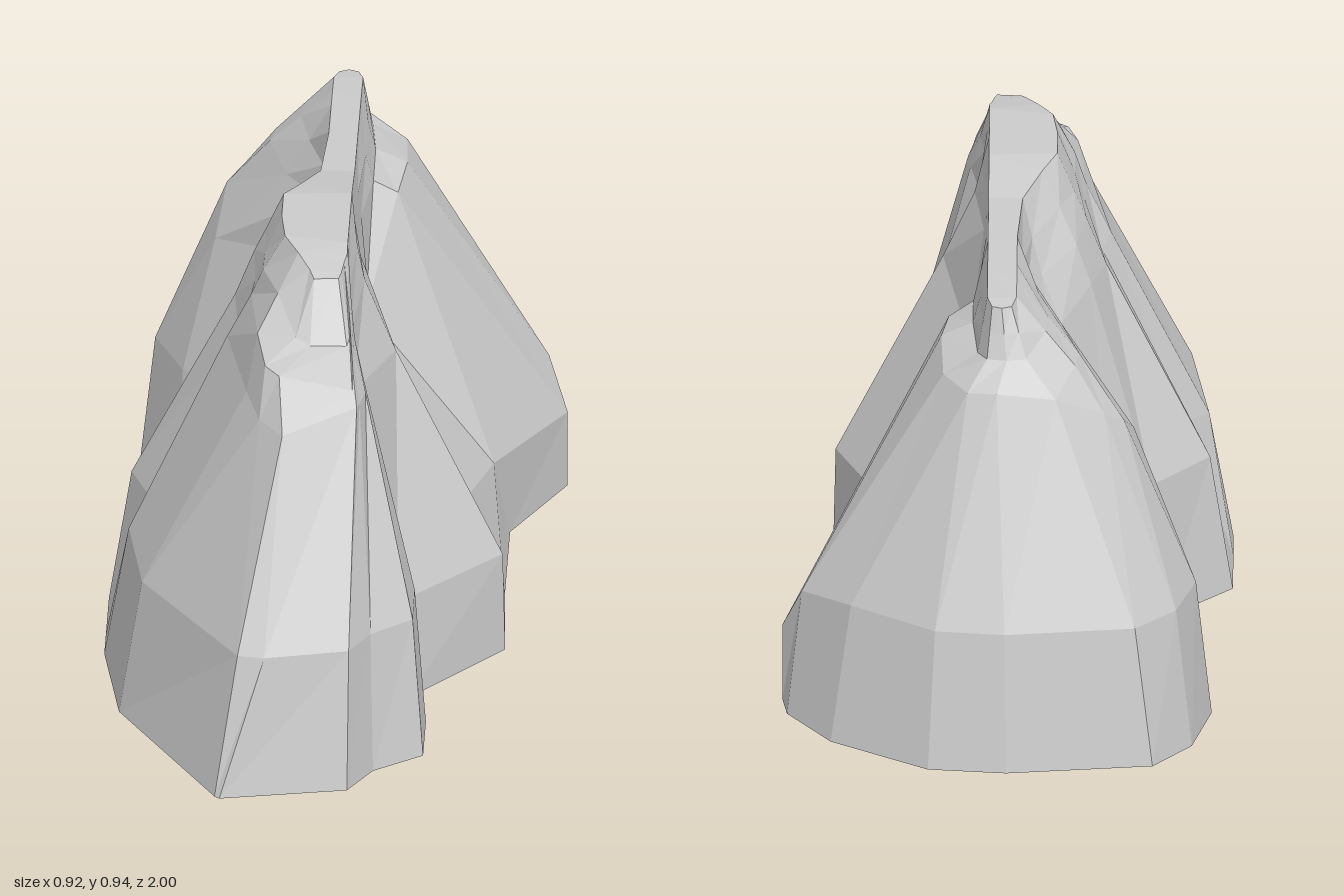
import * as THREE from 'three';

// Every section runs counterclockwise (seen from above) from the front tip.
// Ground outline: x, z
const ground = [
  [-0.2, 1.0], [0.06, 0.95], [0.11, 0.85], [0.21, 0.77], [0.21, 0.6], [0.17, 0.48],
  [0.36, 0.23], [0.35, -0.04], [0.35, -0.36], [0.46, -0.6], [0.45, -0.68], [0.36, -0.83],
  [0.16, -0.98], [0, -1.0], [-0.3, -0.96], [-0.38, -0.85], [-0.42, -0.67], [-0.34, -0.5],
  [-0.23, -0.4], [-0.24, -0.3], [-0.32, -0.16], [-0.46, 0], [-0.46, 0.18], [-0.46, 0.28],
  [-0.42, 0.57], [-0.21, 0.99],
];
// Top of the steep flanks: x, y, z
const flankTop = [
  [-0.08, 0.7, 0.73], [0.07, 0.735, 0.66], [0.075, 0.73, 0.63], [0.085, 0.73, 0.57],
  [0.08, 0.73, 0.51], [0.06, 0.69, 0.47], [0.135, 0.66, 0.2], [0.08, 0.57, -0.04],
  [0.06, 0.57, -0.2], [0.12, 0.76, -0.37], [0.135, 0.77, -0.5], [0.13, 0.75, -0.66],
  [0.08, 0.745, -0.75], [0.02, 0.75, -0.77], [-0.1, 0.73, -0.75], [-0.2, 0.68, -0.7],
  [-0.24, 0.65, -0.66], [-0.26, 0.58, -0.53], [-0.1, 0.63, -0.35], [-0.11, 0.69, -0.24],
  [-0.17, 0.72, -0.1], [-0.2, 0.71, 0.04], [-0.19, 0.69, 0.17], [-0.21, 0.7, 0.23],
  [-0.16, 0.71, 0.53], [-0.13, 0.7, 0.65],
];
// Shoulder under the ridge: x, y, z
const shoulder = [
  [-0.09, 0.785, 0.62], [0.06, 0.76, 0.63], [0.06, 0.785, 0.59], [0.06, 0.8, 0.54],
  [0.06, 0.81, 0.48], [0.05, 0.8, 0.42], [0.07, 0.81, 0.18], [0.05, 0.8, 0],
  [0.05, 0.78, -0.21], [0.07, 0.79, -0.36], [0.07, 0.8, -0.5], [0.06, 0.79, -0.64],
  [0.04, 0.8, -0.7], [0, 0.8, -0.71], [-0.04, 0.8, -0.7], [-0.14, 0.77, -0.66],
  [-0.15, 0.77, -0.6], [-0.11, 0.77, -0.43], [-0.04, 0.78, -0.29], [-0.07, 0.78, -0.2],
  [-0.14, 0.8, -0.08], [-0.16, 0.81, 0.04], [-0.155, 0.8, 0.17], [-0.16, 0.8, 0.24],
  [-0.14, 0.81, 0.46], [-0.12, 0.79, 0.58],
];
// Ridge crest: x, y, z
const crest = [
  [-0.025, 0.92, 0.43], [0.025, 0.922, 0.43], [0.03, 0.925, 0.41], [0.035, 0.932, 0.37],
  [0.04, 0.938, 0.34], [0.04, 0.945, 0.3], [0.04, 0.945, 0.15], [0.04, 0.945, 0.05],
  [0.04, 0.918, -0.12], [0.04, 0.915, -0.34], [0.04, 0.911, -0.5], [0.04, 0.905, -0.62],
  [0.03, 0.9, -0.66], [0.01, 0.9, -0.67], [-0.01, 0.9, -0.66], [-0.02, 0.905, -0.62],
  [-0.02, 0.91, -0.54], [-0.02, 0.912, -0.46], [-0.02, 0.915, -0.32], [-0.03, 0.918, -0.12],
  [-0.07, 0.935, -0.01], [-0.1, 0.945, 0.06], [-0.1, 0.945, 0.17], [-0.09, 0.945, 0.27],
  [-0.06, 0.938, 0.34], [-0.035, 0.928, 0.4],
];
// Corners of the foot that break from its even slope: x, y, z
const footCorners = {
  0: [-0.11, 0.295, 0.94], 5: [0.15, 0.22, 0.48], 6: [0.355, 0.22, 0.23],
  7: [0.28, 0.24, -0.03], 8: [0.32, 0.2, -0.27], 9: [0.46, 0.17, -0.6],
  10: [0.42, 0.27, -0.66], 22: [-0.36, 0.3, 0.18], 23: [-0.41, 0.285, 0.27],
  25: [-0.165, 0.295, 0.93],
};
// Corners of the ledge at the front end of the ridge and its bulge on the left: x, y, z
const collarCorners = {
  0: [-0.03, 0.81, 0.52], 1: [0.045, 0.81, 0.52], 2: [0.05, 0.82, 0.5],
  21: [-0.135, 0.865, 0.05], 22: [-0.135, 0.86, 0.17], 23: [-0.135, 0.865, 0.26],
  25: [-0.06, 0.82, 0.5],
};

function createMesh(name, points, index) {
  const geometry = new THREE.BufferGeometry();
  geometry.setAttribute('position', new THREE.Float32BufferAttribute(points.flat(), 3));
  geometry.setIndex(index);
  geometry.computeVertexNormals();
  const material = new THREE.MeshStandardMaterial({
    color: 0xcccccc, flatShading: true, side: THREE.DoubleSide,
  });
  const mesh = new THREE.Mesh(geometry, material);
  mesh.name = name;
  return mesh;
}

// Section part of the way from one section to another, except at the given corners
function between(lower, upper, t, corners) {
  return lower.map((p, i) => corners[i] ?? p.map((v, k) => THREE.MathUtils.lerp(v, upper[i][k], t)));
}

// Skin between consecutive closed sections
function loft(name, sections) {
  const n = sections[0].length;
  const index = [];
  for (let s = 0; s < sections.length - 1; s++) {
    for (let i = 0; i < n; i++) {
      const a = s * n + i, b = s * n + (i + 1) % n;
      index.push(a, b, b + n, a, b + n, a + n);
    }
  }
  return createMesh(name, sections.flat(), index);
}

// Cap laced from front to back between the right and left edges of the crest
function createCap(name) {
  const n = crest.length, backRight = 13, backLeft = 14;
  const index = [];
  let right = 1, left = n;
  while (right < backRight || left > backLeft) {
    const stepRight = left === backLeft
      || (right < backRight && crest[right + 1][2] > crest[left - 1][2]);
    if (stepRight) index.push(right, ++right, left % n);
    else index.push(right, left - 1, left-- % n);
  }
  return createMesh(name, crest, index);
}

export function createModel() {
  const group = new THREE.Group();
  group.name = 'rockRidge';

  const foot = ground.map(([x, z]) => [x, 0.006, z]);
  const footTop = between(foot, flankTop, 0.18, footCorners).map(([x, y, z], i) =>
    [x, footCorners[i] ? y : 0.295, z]);
  const collar = between(shoulder, crest, 0.5, collarCorners);

  group.add(loft('rockFoot', [foot, footTop]));
  group.add(loft('rockFlanks', [footTop, flankTop, shoulder]));
  group.add(loft('ridgeSides', [shoulder, collar, crest]));
  group.add(createCap('ridgeCap'));

  return group;
}
